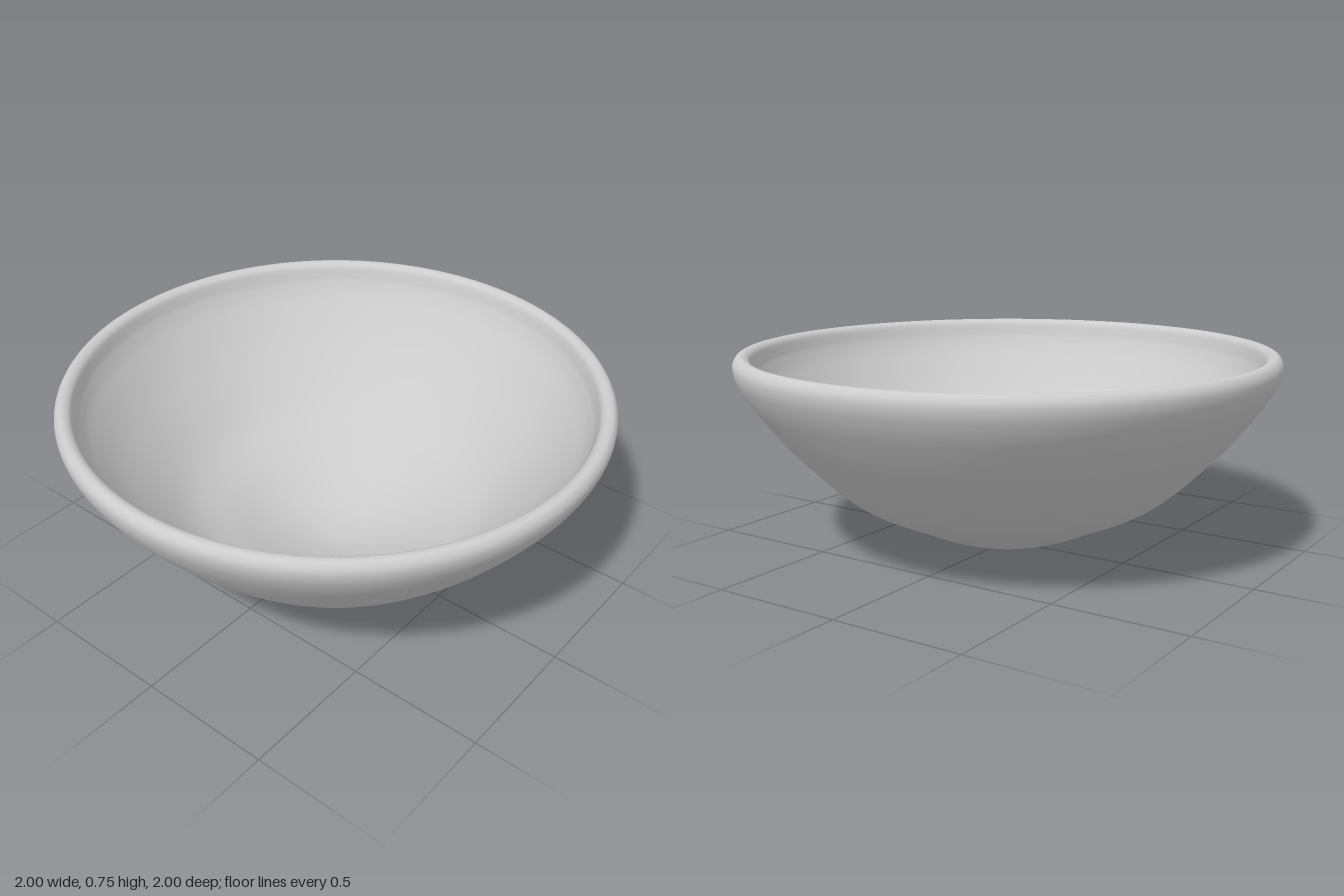
import * as THREE from 'three';

const SEGMENTS = 128;

// Revolve a smooth curve through a few [radius, height] points.
function revolve(name, profile, steps, material) {
  const curve = new THREE.SplineCurve(profile.map(([r, y]) => new THREE.Vector2(r, y)));
  const points = curve.getPoints(steps);
  points.forEach((p) => { p.x = Math.max(p.x, 0); });
  const mesh = new THREE.Mesh(new THREE.LatheGeometry(points, SEGMENTS), material);
  mesh.name = name;
  return mesh;
}

export function createModel() {
  const bowl = new THREE.Group();
  bowl.name = 'bowl';
  const material = new THREE.MeshStandardMaterial({ color: 0xcccccc, side: THREE.DoubleSide });

  // Outer wall, rising from the rounded base and rolling over the rim
  bowl.add(revolve('outerWallAndRim', [
    [0, 0], [0.1, 0.006], [0.25, 0.045], [0.4, 0.11], [0.6, 0.212],
    [0.8, 0.4], [0.93, 0.56], [0.985, 0.65], [1, 0.706], [0.988, 0.738],
    [0.965, 0.746], [0.942, 0.733], [0.93, 0.7],
  ], 96, material));

  // Inner wall, following the outer one from the rim's edge to the centre
  bowl.add(revolve('innerWall', [
    [0.93, 0.7], [0.917, 0.665], [0.875, 0.595], [0.755, 0.445], [0.565, 0.265],
    [0.375, 0.167], [0.23, 0.106], [0.1, 0.07], [0, 0.064],
  ], 64, material));

  return bowl;
}
